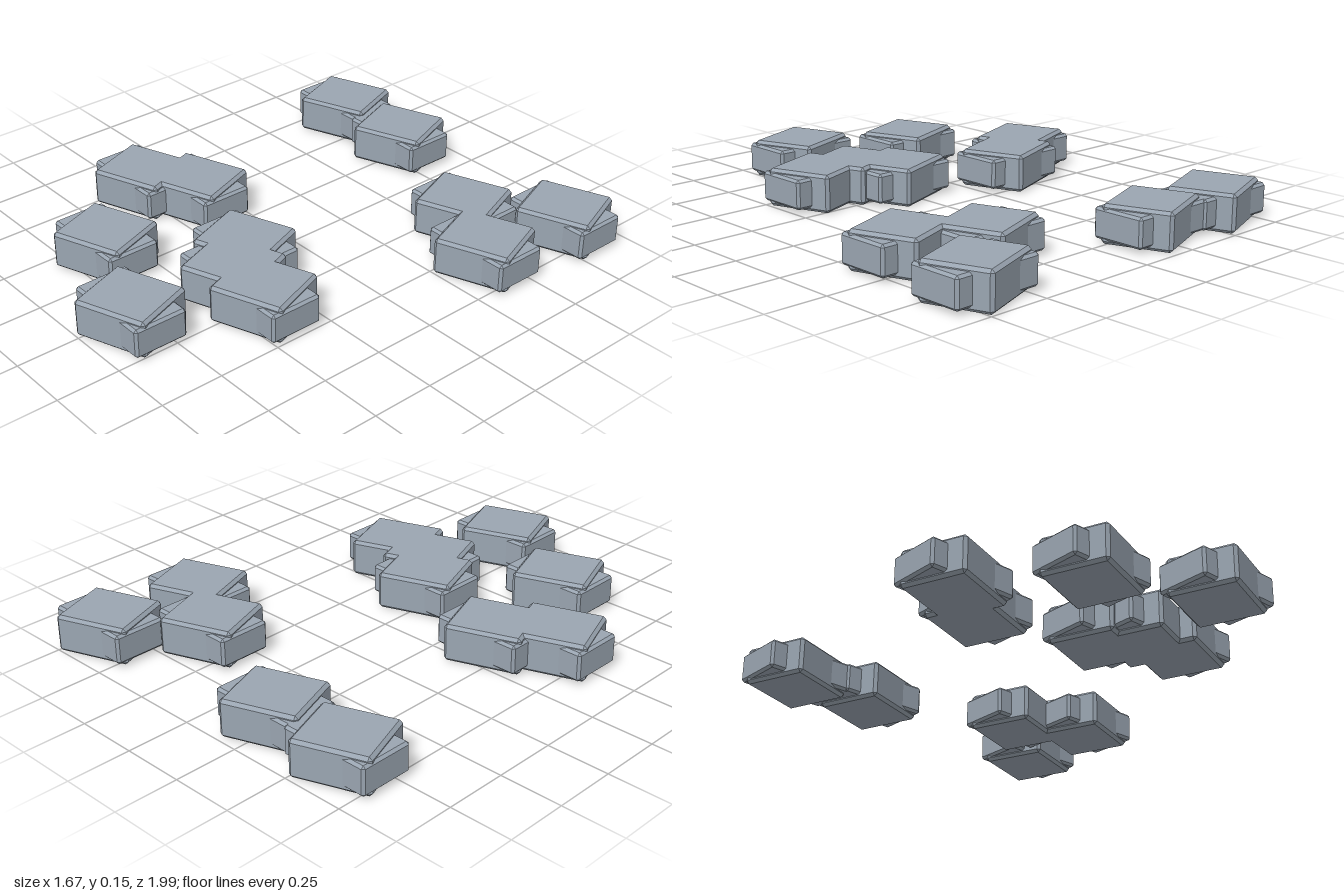
import * as THREE from 'three';
import { ConvexGeometry } from 'three/addons/geometries/ConvexGeometry.js';

// Box with flat chamfers on every edge: three corner points per box corner
function chamferBox(w, h, d, c) {
  const pts = [];
  for (const sx of [-1, 1]) for (const sy of [-1, 1]) for (const sz of [-1, 1]) {
    const x = w / 2, y = h / 2, z = d / 2;
    pts.push(
      new THREE.Vector3(sx * x, sy * (y - c), sz * (z - c)),
      new THREE.Vector3(sx * (x - c), sy * y, sz * (z - c)),
      new THREE.Vector3(sx * (x - c), sy * (y - c), sz * z)
    );
  }
  return new ConvexGeometry(pts);
}

export function createModel() {
  const model = new THREE.Group();
  model.name = 'steppingStones';

  const stone = new THREE.MeshStandardMaterial({ color: 0x9aa5b1 });
  stone.name = 'blue grey stone';

  const slabGeometry = chamferBox(0.3, 0.15, 0.27, 0.012);
  const coreGeometry = chamferBox(0.372, 0.118, 0.22, 0.01);

  // Stone centres [x, z]
  const centres = [
    [-0.6, -0.815], [-0.25, -0.807],                  // back right pair
    [0.65, -0.825], [0.353, -0.574], [0.607, -0.426], // back left trio
    [-0.652, 0.241], [-0.448, 0.118],                 // front right pair
    [0.025, 0.262], [0.136, 0.405], [0.311, 0.407],   // middle cluster
    [-0.356, 0.629], [0.073, 0.82],                   // front singles
  ];

  centres.forEach(([x, z], i) => {
    const group = new THREE.Group();
    group.name = `stone${i + 1}`;
    group.position.set(x, 0.075, z);

    // Turned slab forming the walking surface
    const slab = new THREE.Mesh(slabGeometry, stone);
    slab.name = 'slab';
    slab.rotation.y = THREE.MathUtils.degToRad(20);

    // Longer, lower block crossing through the slab
    const core = new THREE.Mesh(coreGeometry, stone);
    core.name = 'crossBlock';

    group.add(slab, core);
    model.add(group);
  });

  return model;
}
